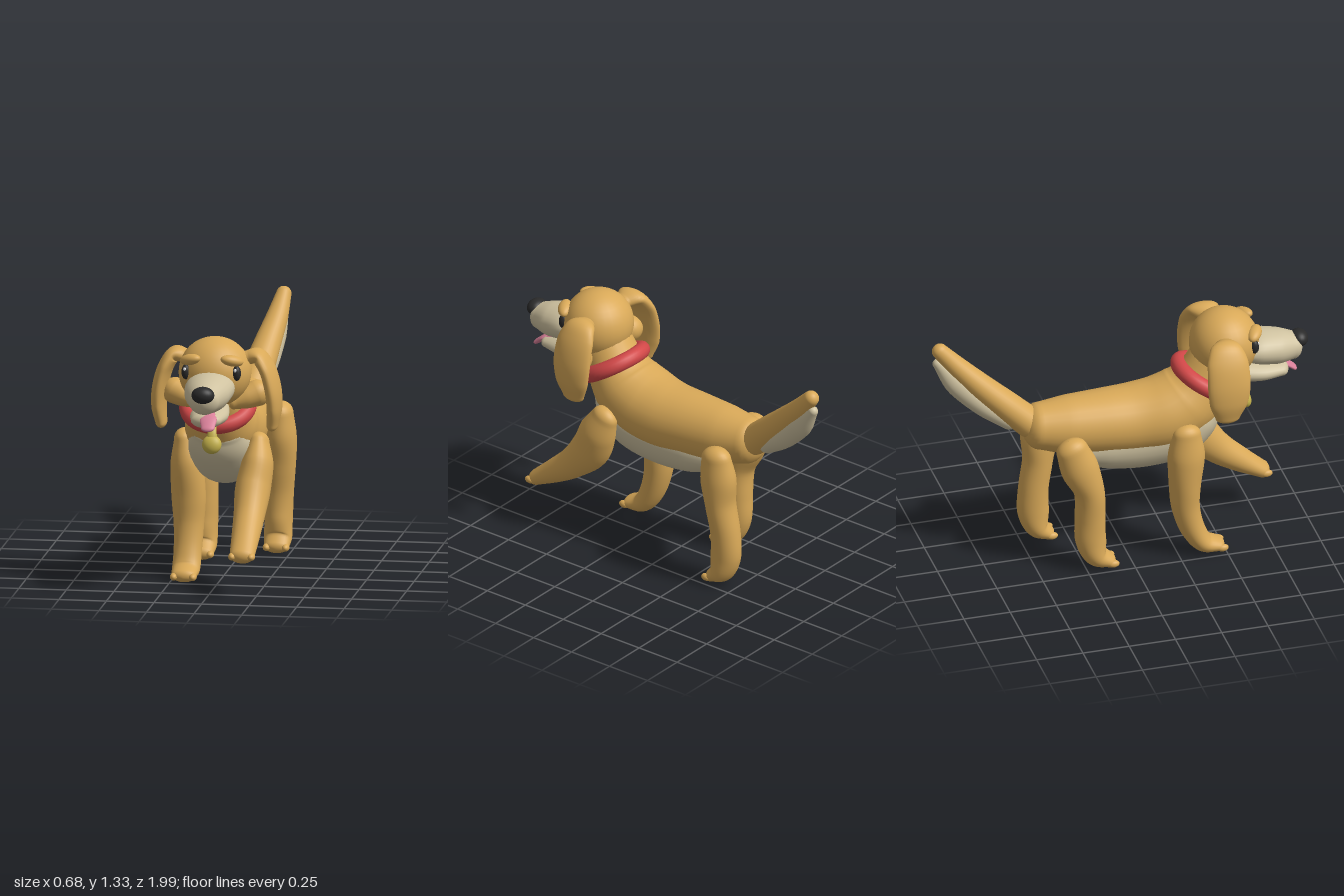
import * as THREE from 'three';

const mat = (name, color) => {
  const m = new THREE.MeshStandardMaterial({ color });
  m.name = name;
  return m;
};

const X = new THREE.Vector3(1, 0, 0);
const Z = new THREE.Vector3(0, 0, 1);

// Smooth limb swept through stations [x, y, z, halfWidth, halfDepth] with rounded ends.
// The half width is measured along `axis`.
function loft(stations, { axis = X, cap = 1, steps = 6, sides = 28 } = {}) {
  const path = new THREE.CatmullRomCurve3(stations.map(s => new THREE.Vector3(s[0], s[1], s[2])));
  const size = new THREE.CatmullRomCurve3(stations.map(s => new THREE.Vector3(s[3], s[4], 0)));
  const n = (stations.length - 1) * steps, capSteps = 7;
  const rings = [];
  const addRing = (t, shift, scale) => {
    const r = size.getPoint(t), dir = path.getTangent(t);
    const c = path.getPoint(t).addScaledVector(dir, shift * cap * Math.min(r.x, r.y));
    const u = axis.clone().addScaledVector(dir, -axis.dot(dir)).normalize();
    const v = dir.clone().cross(u);
    rings.push({ c, u, v, a: r.x * scale, b: r.y * scale });
  };
  for (let k = capSteps; k > 0; k--) {
    const q = k / capSteps * Math.PI / 2;
    addRing(0, -Math.sin(q), Math.max(Math.cos(q), 0.01));
  }
  for (let i = 0; i <= n; i++) addRing(i / n, 0, 1);
  for (let k = 1; k <= capSteps; k++) {
    const q = k / capSteps * Math.PI / 2;
    addRing(1, Math.sin(q), Math.max(Math.cos(q), 0.01));
  }
  const pos = [], idx = [];
  rings.forEach(({ c, u, v, a, b }, i) => {
    for (let j = 0; j < sides; j++) {
      const q = j / sides * Math.PI * 2;
      const p = c.clone().addScaledVector(u, a * Math.cos(q)).addScaledVector(v, b * Math.sin(q));
      pos.push(p.x, p.y, p.z);
      if (i === rings.length - 1) continue;
      const k = (j + 1) % sides, A = i * sides, B = A + sides;
      idx.push(A + j, A + k, B + j, A + k, B + k, B + j);
    }
  });
  const g = new THREE.BufferGeometry();
  g.setAttribute('position', new THREE.Float32BufferAttribute(pos, 3));
  g.setIndex(idx);
  g.computeVertexNormals();
  return g;
}

export function createModel() {
  const dog = new THREE.Group();
  dog.name = 'dog';
  const fur = mat('golden fur', 0xd9a958);
  const cream = mat('cream fur', 0xcfc2a0);
  const red = mat('red collar', 0xd24848);
  const dark = mat('black', 0x2a2a2a);
  const pink = mat('pink tongue', 0xd98099);
  const brass = mat('brass', 0xc6b34c);
  const white = mat('white glint', 0xe8e8e8);

  const add = (name, geometry, material) => {
    const m = new THREE.Mesh(geometry, material);
    m.name = name;
    dog.add(m);
    return m;
  };
  const blob = (name, material, [x, y, z], [a, b, c], rot = [0, 0, 0]) => {
    const m = add(name, new THREE.SphereGeometry(1, 28, 20), material);
    m.position.set(x, y, z);
    m.scale.set(a, b, c);
    m.rotation.set(...rot);
    return m;
  };

  // Torso and neck in one sweep, with the cream chest and belly below
  add('body', loft([
    [0.01, 0.795, -0.45, 0.125, 0.125], [0.01, 0.78, -0.3, 0.155, 0.155],
    [0.01, 0.77, -0.1, 0.175, 0.17], [0.01, 0.765, 0.08, 0.19, 0.183],
    [0, 0.785, 0.23, 0.2, 0.192], [0, 0.845, 0.35, 0.19, 0.185],
    [0, 0.94, 0.435, 0.158, 0.155], [0, 1.05, 0.5, 0.14, 0.14]], { cap: 0.7 }), fur);
  add('belly', loft([
    [0.01, 0.645, -0.26, 0.115, 0.09], [0.01, 0.645, -0.1, 0.145, 0.145],
    [0.005, 0.65, 0.1, 0.16, 0.17], [0, 0.68, 0.27, 0.175, 0.17],
    [0, 0.75, 0.39, 0.165, 0.135], [0, 0.81, 0.45, 0.135, 0.085]], { cap: 0.5 }), cream);

  // Tail with pale underside
  add('tail', loft([
    [0.02, 0.82, -0.5, 0.085, 0.082], [0.045, 0.93, -0.62, 0.082, 0.076],
    [0.075, 1.05, -0.75, 0.07, 0.067], [0.105, 1.16, -0.86, 0.057, 0.055],
    [0.125, 1.262, -0.952, 0.04, 0.042]]), fur);
  add('tailUnderside', loft([
    [0.04, 0.835, -0.6, 0.05, 0.05], [0.07, 0.935, -0.73, 0.06, 0.062],
    [0.1, 1.06, -0.86, 0.053, 0.064], [0.125, 1.19, -0.963, 0.026, 0.028]]), cream);

  // Legs: [z, y, half width, half depth] from hip to paw
  const legs = [
    ['leftFrontLeg', [0.2, 0.2, 0.185, 0.182, 0.182, 0.182], [
      [0.35, 0.74, 0.055, 0.075], [0.395, 0.64, 0.083, 0.103], [0.45, 0.52, 0.092, 0.108],
      [0.56, 0.4, 0.082, 0.085], [0.68, 0.31, 0.074, 0.066], [0.8, 0.232, 0.066, 0.043]]],
    ['rightFrontLeg', [-0.2, -0.19, -0.18, -0.178, -0.178, -0.178, -0.178], [
      [0.29, 0.74, 0.055, 0.075], [0.29, 0.6, 0.085, 0.098], [0.285, 0.43, 0.09, 0.084],
      [0.29, 0.29, 0.08, 0.074], [0.33, 0.15, 0.074, 0.064], [0.385, 0.068, 0.074, 0.053],
      [0.46, 0.045, 0.066, 0.036]]],
    ['leftHindLeg', [0.2, 0.195, 0.19, 0.182, 0.18, 0.18, 0.18], [
      [-0.385, 0.745, 0.065, 0.085], [-0.395, 0.62, 0.085, 0.1], [-0.405, 0.48, 0.085, 0.08],
      [-0.43, 0.32, 0.078, 0.08], [-0.433, 0.19, 0.074, 0.084], [-0.41, 0.085, 0.074, 0.063],
      [-0.36, 0.046, 0.066, 0.038]]],
    ['rightHindLeg', [-0.2, -0.195, -0.19, -0.182, -0.18, -0.18, -0.18], [
      [-0.33, 0.745, 0.065, 0.085], [-0.285, 0.62, 0.085, 0.1], [-0.235, 0.48, 0.085, 0.08],
      [-0.228, 0.32, 0.078, 0.08], [-0.225, 0.19, 0.074, 0.082], [-0.195, 0.085, 0.074, 0.063],
      [-0.13, 0.046, 0.066, 0.038]]],
  ];
  for (const [name, xs, rows] of legs) {
    add(name, loft(rows.map(([z, y, a, b], i) => [xs[i], y, z, a, b])), fur);
    const [z, y] = rows[rows.length - 1];
    for (const s of [-1, 1])
      blob(name + 'Toe', fur, [xs[xs.length - 1] + s * 0.05, y - 0.005, z + 0.016], [0.02, 0.02, 0.032]);
  }

  // Head, muzzle, jaw, nose and tongue
  blob('head', fur, [0, 1.15, 0.548], [0.19, 0.185, 0.183]);
  add('muzzle', loft([
    [0, 1.1, 0.64, 0.115, 0.065], [0, 1.093, 0.73, 0.13, 0.088],
    [0, 1.077, 0.83, 0.116, 0.09], [0, 1.066, 0.92, 0.08, 0.072]], { cap: 0.65 }), cream);
  add('lowerJaw', loft([
    [0, 0.97, 0.58, 0.08, 0.055], [0, 0.955, 0.73, 0.1, 0.053],
    [0, 0.95, 0.85, 0.08, 0.04]]), cream);
  blob('nose', dark, [0, 1.105, 0.952], [0.06, 0.045, 0.048]);
  add('tongue', loft([
    [0.01, 0.985, 0.8, 0.032, 0.014], [0.015, 0.975, 0.86, 0.036, 0.014],
    [0.022, 0.925, 0.925, 0.036, 0.014]], { cap: 1.6 }), pink);

  for (const s of [-1, 1]) {
    // Eyes and brows
    blob('eye', dark, [s * 0.133, 1.17, 0.674], [0.023, 0.04, 0.025], [0, s * 0.5, 0]);
    blob('eyeGlint', white, [s * 0.133 - 0.004, 1.187, 0.694], [0.008, 0.01, 0.006]);
    blob('brow', fur, [s * 0.11, 1.237, 0.682], [0.063, 0.029, 0.036], [0, s * 0.5, -s * 0.22]);
    // Cheek tufts
    add('cheek', loft([
      [s * 0.1, 0.995, 0.56, 0.04, 0.04], [s * 0.16, 1.015, 0.535, 0.06, 0.06],
      [s * 0.215, 1.035, 0.51, 0.07, 0.07]], { axis: Z }), fur);
    // Floppy ears
    add('ear', loft([
      [s * 0.165, 1.222, 0.51, 0.055, 0.037], [s * 0.215, 1.23, 0.5, 0.085, 0.04],
      [s * 0.262, 1.17, 0.495, 0.11, 0.04], [s * 0.295, 1.06, 0.493, 0.115, 0.041],
      [s * 0.303, 0.95, 0.488, 0.102, 0.038], [s * 0.292, 0.865, 0.485, 0.066, 0.03]],
      { axis: Z, cap: 1.1 }), fur);
  }

  // Collar with a hanging bell
  const collar = add('collar', new THREE.TorusGeometry(0.16, 0.043, 18, 56), red);
  collar.position.set(0, 0.95, 0.447);
  collar.rotation.x = -1.035;
  add('bellLoop', loft([
    [0, 0.875, 0.622, 0.02, 0.014], [0, 0.845, 0.645, 0.024, 0.016],
    [0, 0.81, 0.655, 0.028, 0.02]]), brass);
  blob('bell', brass, [0, 0.785, 0.658], [0.051, 0.05, 0.034], [-0.3, 0, 0]);
  return dog;
}
